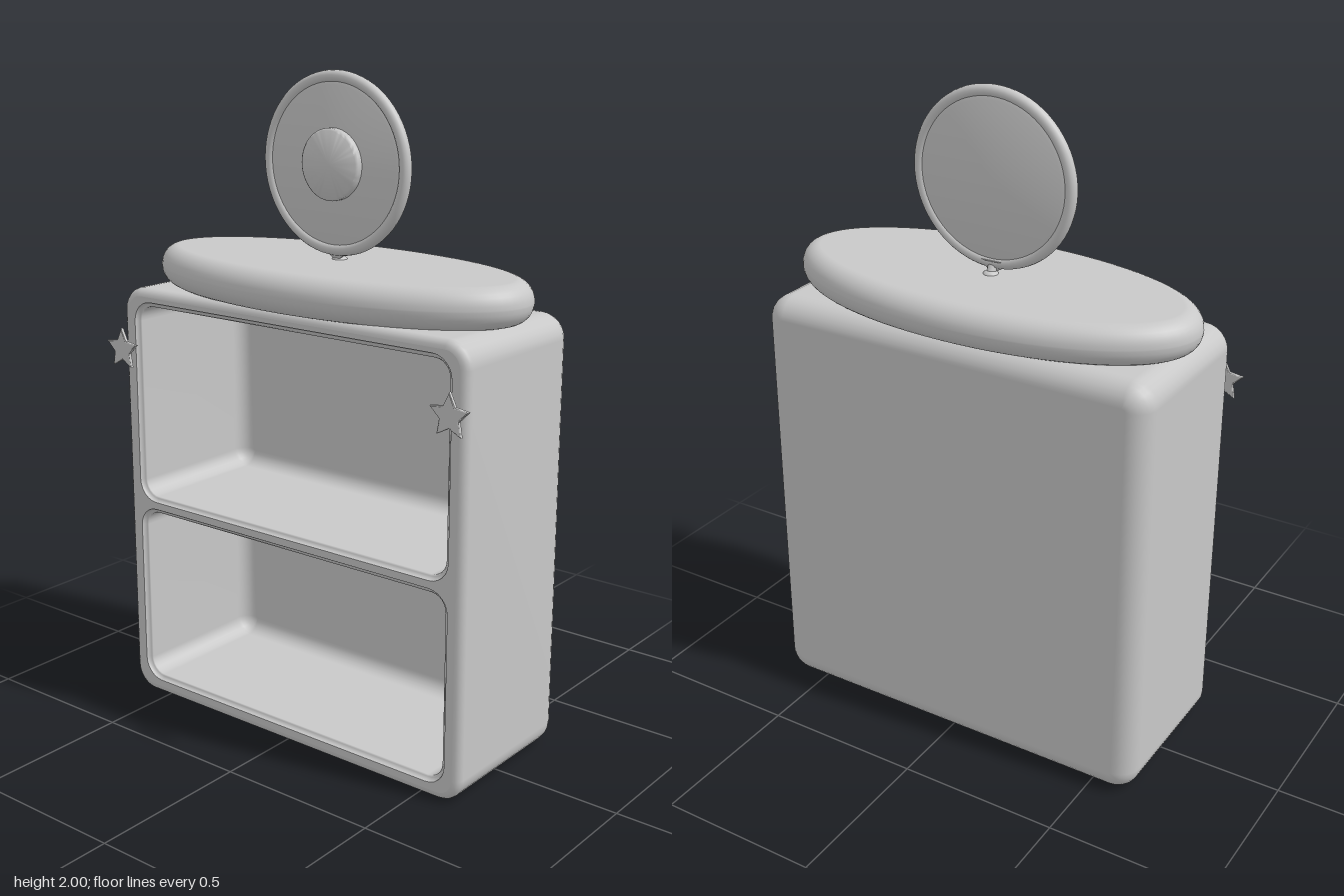
import * as THREE from 'three';
import { toCreasedNormals } from 'three/addons/utils/BufferGeometryUtils.js';

const grey = new THREE.MeshStandardMaterial({ color: 0xc8c8c8 });
grey.name = 'plain grey';

// Counter-clockwise outline of a rounded rectangle
function roundedRect(cx, cy, hw, hh, r, n = 6) {
  const pts = [];
  [[1, 1], [-1, 1], [-1, -1], [1, -1]].forEach(([sx, sy], q) => {
    for (let i = 0; i <= n; i++) {
      const a = (q + i / n) * Math.PI / 2;
      pts.push(new THREE.Vector2(cx + sx * (hw - r) + r * Math.cos(a), cy + sy * (hh - r) + r * Math.sin(a)));
    }
  });
  return pts;
}

// Counter-clockwise outline of an ellipse
function ellipse(a, b, n = 72) {
  return Array.from({ length: n }, (_, i) => {
    const t = i / n * Math.PI * 2;
    return new THREE.Vector2(a * Math.cos(t), b * Math.sin(t));
  });
}

// Skin over outlines stacked along z, each { pts, z }, with optional end caps
function loft(rings, capStart, capEnd) {
  const n = rings[0].pts.length, pos = [], idx = [];
  rings.forEach(({ pts, z }) => pts.forEach(p => pos.push(p.x, p.y, z)));
  for (let i = 0; i < rings.length - 1; i++) {
    for (let j = 0; j < n; j++) {
      const a = i * n + j, b = i * n + (j + 1) % n;
      idx.push(a, b, b + n, a, b + n, a + n);
    }
  }
  const cap = (k, flip) => {
    const c = new THREE.Vector2();
    rings[k].pts.forEach(p => c.addScaledVector(p, 1 / n));
    const centre = pos.length / 3;
    pos.push(c.x, c.y, rings[k].z);
    for (let j = 0; j < n; j++) {
      const a = k * n + j, b = k * n + (j + 1) % n;
      idx.push(centre, flip ? b : a, flip ? a : b);
    }
  };
  if (capStart) cap(0, true);
  if (capEnd) cap(rings.length - 1, false);
  const g = new THREE.BufferGeometry();
  g.setAttribute('position', new THREE.Float32BufferAttribute(pos, 3));
  g.setIndex(idx);
  g.computeVertexNormals();
  return g;
}

// Quarter-round steps: how far the outline is inset and how far it sits from the end plane
function quarter(r, n = 6) {
  return Array.from({ length: n + 1 }, (_, i) => {
    const a = i / n * Math.PI / 2;
    return { inset: r * (1 - Math.sin(a)), depth: r * (1 - Math.cos(a)) };
  });
}

function add(parent, name, geometry, x = 0, y = 0, z = 0) {
  const mesh = new THREE.Mesh(geometry, grey);
  mesh.name = name;
  mesh.position.set(x, y, z);
  parent.add(mesh);
  return mesh;
}

function makeCabinet() {
  const cabinet = new THREE.Group();
  cabinet.name = 'cabinet';
  const back = -0.275, front = 0.255, cy = 0.672;

  // Outer shell with soft back edges and a small front round
  const outer = inset => roundedRect(0, cy, 0.64 - inset, 0.668 - inset, 0.075 - inset);
  const shell = [
    ...quarter(0.065).map(s => ({ pts: outer(s.inset), z: back + s.depth })),
    ...quarter(0.025, 4).reverse().map(s => ({ pts: outer(s.inset), z: front - s.depth })),
  ];
  add(cabinet, 'outerShell', loft(shell, true, false));

  // Two open compartments with rounded lips and filleted back walls
  const rim = new THREE.Shape(outer(0.025));
  [['lowerCompartment', 0.065, 0.622], ['upperCompartment', 0.675, 1.285]].forEach(([name, y0, y1]) => {
    const cell = inset => roundedRect(0, (y0 + y1) / 2, 0.575 - inset, (y1 - y0) / 2 - inset, 0.05 - inset);
    const lip = quarter(0.015, 4).map(s => ({ pts: cell(s.inset - 0.015), z: front - s.depth }));
    lip.forEach((ring, i) => { ring.pts = cell(-0.015 * Math.cos(i / 4 * Math.PI / 2)); ring.z = front - 0.015 * Math.sin(i / 4 * Math.PI / 2); });
    const fillet = quarter(0.045).reverse().map(s => ({ pts: cell(s.inset), z: -0.215 + s.depth }));
    add(cabinet, name, loft([...lip, ...fillet], false, true));
    rim.holes.push(new THREE.Path(cell(-0.015)));
  });
  add(cabinet, 'frontRim', new THREE.ShapeGeometry(rim), 0, 0, front);
  return cabinet;
}

function makeMirror() {
  const mirror = new THREE.Group();
  mirror.name = 'mirror';
  const cy = 1.734;
  add(mirror, 'mirrorFrame', new THREE.TorusGeometry(0.248, 0.018, 14, 72), 0, cy, 0.003);

  // Round plate and raised centre disc, turned about z
  const disc = profile => toCreasedNormals(
    new THREE.LatheGeometry(profile.map(p => new THREE.Vector2(...p)), 64).rotateX(Math.PI / 2), 0.9);
  add(mirror, 'mirrorPlate', disc([[0, -0.012], [0.225, -0.012], [0.243, -0.006], [0.243, 0.01], [0.225, 0.016], [0, 0.016]]), 0, cy, 0);
  add(mirror, 'centreDisc', disc([[0, 0.01], [0.104, 0.01], [0.104, 0.033], [0.098, 0.039], [0, 0.039]]), 0, cy, 0);

  // Flared neck leaning back to a small foot
  add(mirror, 'neck', new THREE.CylinderGeometry(0.068, 0.012, 0.035, 24).scale(1, 1, 0.25), 0, 1.477, 0.001);
  const lean = new THREE.LineCurve3(new THREE.Vector3(0, 1.485, 0.002), new THREE.Vector3(0, 1.44, -0.022));
  add(mirror, 'stem', new THREE.TubeGeometry(lean, 2, 0.014, 14));
  add(mirror, 'foot', new THREE.SphereGeometry(0.024, 18, 12).scale(1, 0.6, 1), 0, 1.452, -0.014);
  return mirror;
}

// Five-pointed star, thickest in the middle
function starGeometry() {
  const shape = new THREE.Shape(Array.from({ length: 10 }, (_, i) => {
    const a = Math.PI / 2 + i * Math.PI / 5, r = i % 2 ? 0.03 : 0.062;
    return new THREE.Vector2(r * Math.cos(a), r * Math.sin(a));
  }));
  return new THREE.ExtrudeGeometry(shape, {
    depth: 0.004, bevelEnabled: true, bevelThickness: 0.004, bevelSize: 0.004, bevelOffset: -0.001, bevelSegments: 2,
  }).translate(0, 0, -0.002);
}

export function createModel() {
  const model = new THREE.Group();
  model.name = 'vanityCabinet';
  model.add(makeCabinet());

  // Oval padded top
  const oval = inset => ellipse(0.652 - inset, 0.308 - inset);
  const pad = [
    ...quarter(0.058, 8).map(s => ({ pts: oval(s.inset), z: 1.336 + s.depth })),
    ...quarter(0.058, 8).reverse().map(s => ({ pts: oval(s.inset), z: 1.456 - s.depth })),
  ];
  add(model, 'ovalTop', loft(pad, true, true).rotateX(-Math.PI / 2));

  model.add(makeMirror());

  // Star ornaments in front of the upper corners
  const star = starGeometry();
  add(model, 'leftStar', star, 0.61, 1.15, 0.291);
  add(model, 'rightStar', star, -0.61, 1.15, 0.291);
  return model;
}
